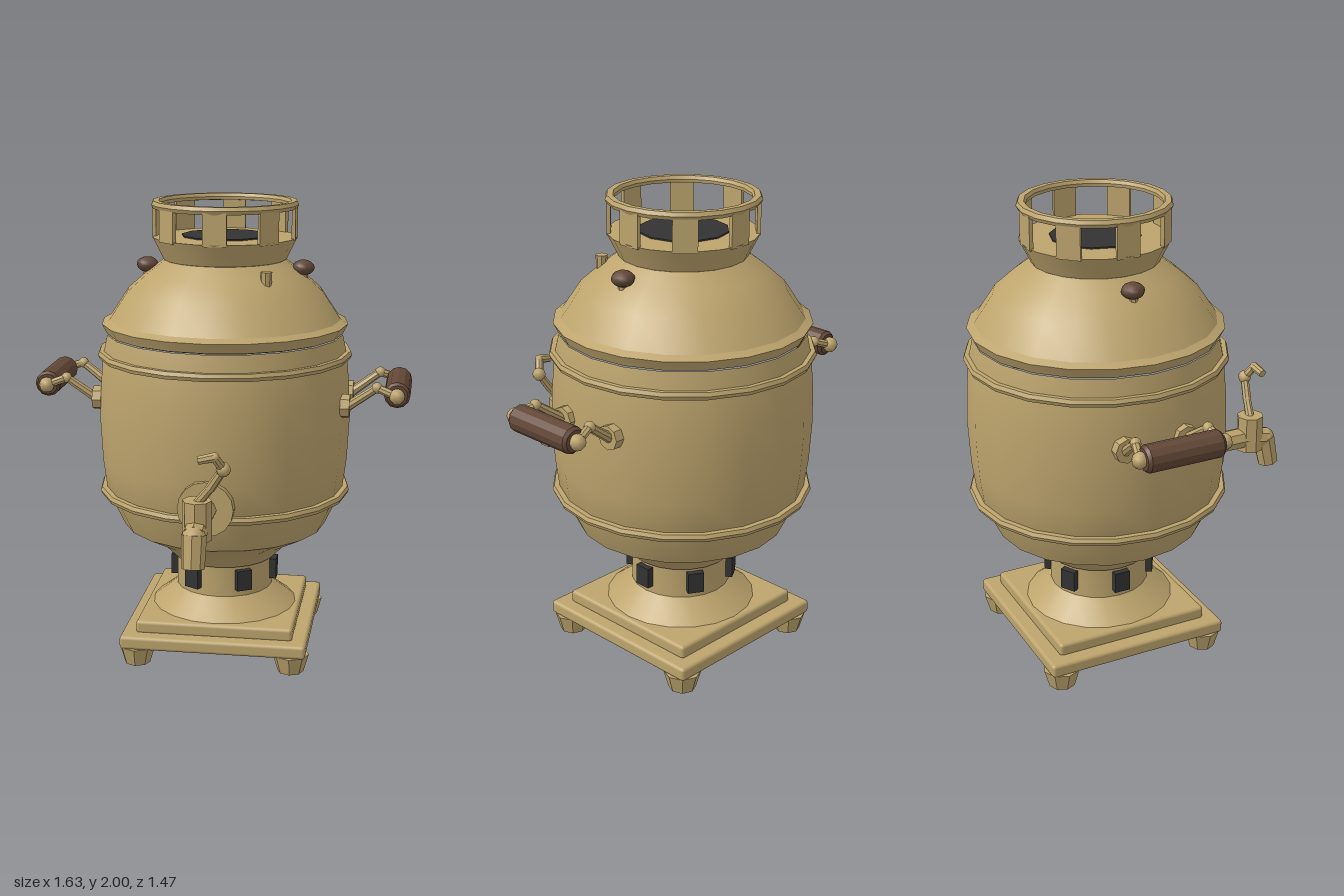
import * as THREE from 'three';
import { toCreasedNormals } from 'three/addons/utils/BufferGeometryUtils.js';
import { RoundedBoxGeometry } from 'three/addons/geometries/RoundedBoxGeometry.js';

export function createModel() {
  const model = new THREE.Group();
  model.name = 'samovar';
  const urn = new THREE.Group();
  urn.name = 'urn';
  urn.position.z = -0.18; // the tap reaches forward, so the urn sits back
  model.add(urn);

  const paint = (name, color) => {
    const m = new THREE.MeshStandardMaterial({ color });
    m.name = name;
    return m;
  };
  const brass = paint('brass', 0xbda46d);
  const wood = paint('wood', 0x634737);
  const dark = paint('dark iron', 0x333333);

  const add = (name, geometry, material, x = 0, y = 0, z = 0, parent = urn) => {
    const mesh = new THREE.Mesh(geometry, material);
    mesh.name = name;
    mesh.position.set(x, y, z);
    parent.add(mesh);
    return mesh;
  };
  const crease = (g, angle = 0.45) => toCreasedNormals(g, angle);
  const lathe = (points, sides) =>
    crease(new THREE.LatheGeometry(points.map(p => new THREE.Vector2(...p)), sides));
  const cylinder = (top, bottom, h, sides) =>
    crease(new THREE.CylinderGeometry(top, bottom, h, sides), 0.7);
  // straight bar from point a to point b
  const bar = (name, a, b, r0, r1, parent, sides = 8) => {
    const from = new THREE.Vector3(...a), to = new THREE.Vector3(...b);
    const dir = to.clone().sub(from);
    const mid = from.clone().add(to).multiplyScalar(0.5);
    const mesh = add(name, cylinder(r1, r0, dir.length(), sides), brass, mid.x, mid.y, mid.z, parent);
    mesh.quaternion.setFromUnitVectors(new THREE.Vector3(0, 1, 0), dir.normalize());
    return mesh;
  };
  const ball = (name, p, r, parent) =>
    add(name, new THREE.SphereGeometry(r, 8, 6), brass, ...p, parent);

  // stepped square base on four tapered feet
  add('lowerPlinth', new RoundedBoxGeometry(0.816, 0.06, 0.816, 2, 0.015), brass, 0, 0.108, 0);
  add('upperPlinth', new RoundedBoxGeometry(0.69, 0.06, 0.69, 2, 0.015), brass, 0, 0.16, 0);
  for (const x of [-0.34, 0.34]) for (const z of [-0.34, 0.34])
    add('foot', cylinder(0.08, 0.057, 0.08, 8), brass, x, 0.04, z);

  // pedestal, tank, shoulder and burner collar
  add('pedestal', lathe([[0.33, 0.185], [0.215, 0.275], [0.215, 0.415], [0.225, 0.415]], 20), brass);
  add('tank', lathe([[0.21, 0.415], [0.225, 0.415], [0.3, 0.49], [0.45, 0.57], [0.525, 0.73],
    [0.543, 0.87], [0.552, 1.05], [0.547, 1.2], [0.535, 1.34], [0.515, 1.43]], 20), brass);
  add('lid', lathe([[0.5, 1.43], [0.515, 1.435], [0.537, 1.478], [0.505, 1.495], [0.425, 1.615],
    [0.34, 1.69], [0.26, 1.75]], 20), brass);
  add('collar', lathe([[0.255, 1.745], [0.265, 1.75], [0.312, 1.845], [0.18, 1.847]], 20), brass);
  add('burnerOpening', cylinder(0.187, 0.187, 0.01, 12), dark, 0, 1.848, 0);
  for (const y of [0.732, 1.342])
    add('tankBand', lathe([[0.52, y - 0.016], [0.55, y - 0.016], [0.557, y], [0.55, y + 0.016],
      [0.52, y + 0.016]], 20), brass);

  // open crown: eight slats below a rim
  for (let i = 0; i < 8; i++) {
    const a = i * Math.PI / 4;
    const slat = add('crownSlat', new THREE.BoxGeometry(0.1, 0.14, 0.016), brass,
      0.3 * Math.sin(a), 1.907, 0.3 * Math.cos(a));
    slat.rotation.y = a;
  }
  add('crownRim', lathe([[0.28, 1.972], [0.31, 1.968], [0.318, 1.984], [0.31, 2], [0.285, 2],
    [0.278, 1.986], [0.28, 1.972]], 20), brass);

  // six draught openings round the pedestal
  for (let i = 0; i < 6; i++) {
    const a = Math.PI / 2 + i * Math.PI / 3;
    const vent = add('draughtOpening', new THREE.BoxGeometry(0.07, 0.092, 0.035), dark,
      0.222 * Math.sin(a), 0.353, 0.222 * Math.cos(a));
    vent.rotation.y = a;
  }

  // side handles and lid knobs, mirrored
  for (const s of [-1, 1]) {
    const handle = new THREE.Group();
    handle.name = s > 0 ? 'leftHandle' : 'rightHandle';
    urn.add(handle);
    const grip = add('grip', lathe([[0, -0.168], [0.045, -0.168], [0.056, -0.155], [0.056, 0.155],
      [0.045, 0.168], [0, 0.168]], 12), wood, s * 0.76, 1.205, 0, handle);
    grip.rotation.x = Math.PI / 2;
    for (const k of [-1, 1]) {
      const root = [s * 0.53, 1.13, k * 0.133];
      const elbow = [s * 0.675, 1.235, k * 0.158];
      const end = [s * 0.76, 1.205, k * 0.182];
      bar('mount', [s * 0.52, 1.145, k * 0.133], [s * 0.56, 1.145, k * 0.133], 0.052, 0.052, handle);
      bar('arm', root, elbow, 0.022, 0.018, handle);
      bar('arm', elbow, end, 0.018, 0.018, handle);
      ball('elbow', elbow, 0.024, handle);
      ball('endCap', end, 0.034, handle);
    }
    add('knobStem', cylinder(0.02, 0.02, 0.06, 8), brass, s * 0.34, 1.685, 0);
    add('lidKnob', new THREE.SphereGeometry(0.048, 10, 8), wood, s * 0.34, 1.717, 0).scale.y = 0.7;
  }
  add('steamVent', cylinder(0.025, 0.022, 0.07, 8), brass, 0.21, 1.698, 0.26);

  // tap with bent spout and curled key
  const tap = new THREE.Group();
  tap.name = 'tap';
  urn.add(tap);
  bar('tapPlate', [0, 0.79, 0.515], [0, 0.79, 0.565], 0.118, 0.118, tap, 16);
  bar('tapPipe', [0, 0.79, 0.55], [0, 0.79, 0.78], 0.048, 0.048, tap);
  bar('valveBody', [0, 0.73, 0.765], [0, 0.895, 0.765], 0.06, 0.06, tap);
  bar('spoutBend', [0, 0.785, 0.75], [0, 0.765, 0.845], 0.05, 0.05, tap);
  ball('spoutElbow', [0, 0.765, 0.842], 0.05, tap);
  bar('spout', [0, 0.775, 0.838], [0, 0.643, 0.867], 0.052, 0.047, tap);
  const key = [[0, 0.88, 0.765], [0.055, 0.95, 0.778], [0.11, 1.035, 0.795],
    [0.08, 1.092, 0.825], [0.015, 1.078, 0.832]];
  for (let i = 0; i < 4; i++) {
    bar('key', key[i], key[i + 1], 0.02, 0.018, tap);
    if (i > 0) ball('keyJoint', key[i], i === 2 ? 0.03 : 0.02, tap);
  }
  return model;
}
